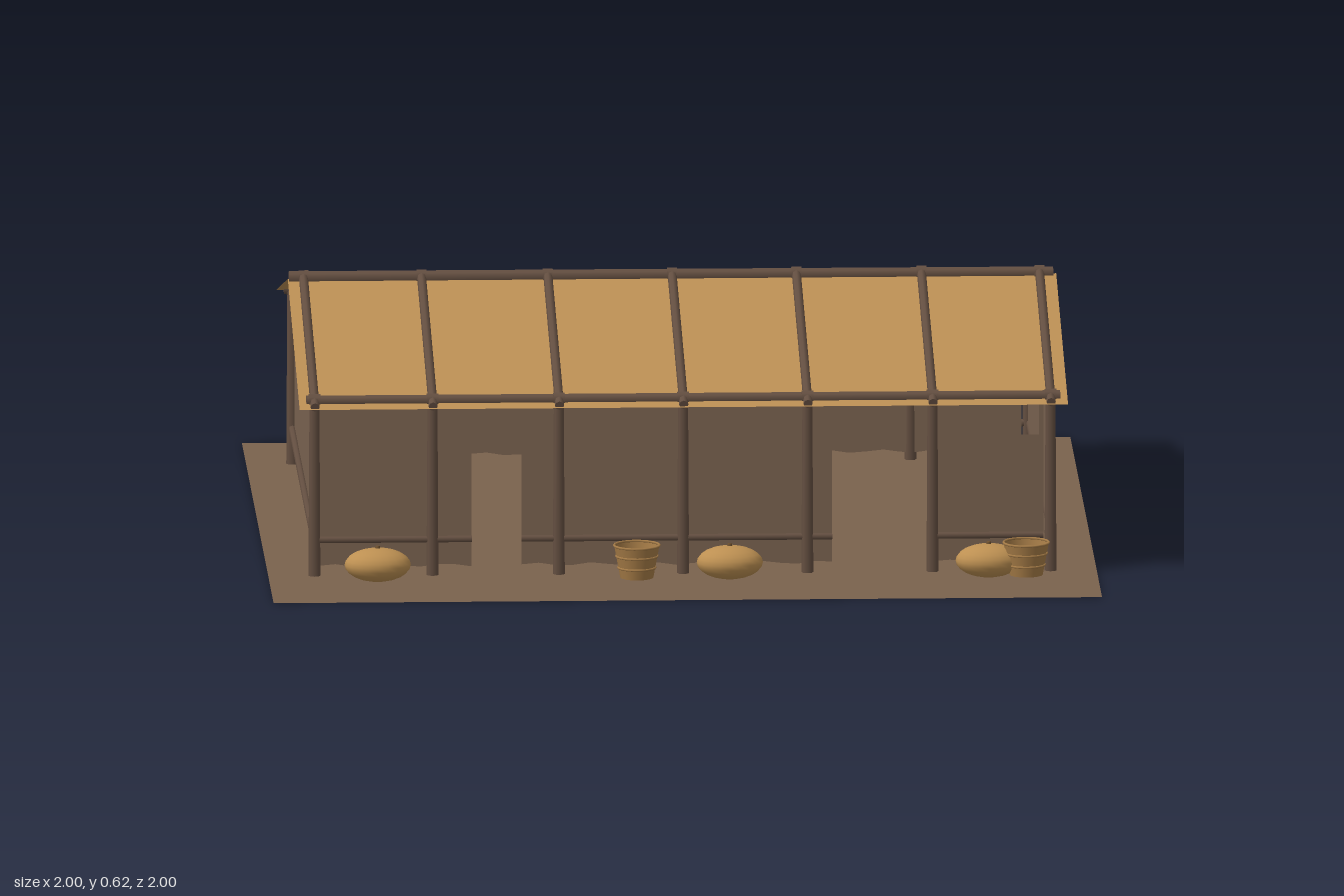
import * as THREE from 'three';

const mat = (name, color, side = THREE.FrontSide) => {
  const m = new THREE.MeshStandardMaterial({ color, side });
  m.name = name;
  return m;
};

export function createModel() {
  const group = new THREE.Group();
  const earth = mat('earth', 0x7a624d, THREE.DoubleSide);
  const hide = mat('wall cloth', 0x7a6350, THREE.DoubleSide);
  const canvas = mat('roof canvas', 0xbc8f54, THREE.DoubleSide);
  const wood = mat('wood', 0x644f41);
  const sackCloth = mat('sack cloth', 0xbd9052);
  const wicker = mat('wicker', 0xa67c47, THREE.DoubleSide);
  const band = mat('dark band', 0x6e5130);

  const add = (geo, material, name, x = 0, y = 0, z = 0, parent = group) => {
    const m = new THREE.Mesh(geo, material);
    m.name = name;
    m.position.set(x, y, z);
    parent.add(m);
    return m;
  };

  // round pole between two points
  const pole = (a, b, r, name, r2 = r) => {
    const p = new THREE.Vector3(...a), q = new THREE.Vector3(...b);
    const dir = q.clone().sub(p);
    const m = add(new THREE.CylinderGeometry(r2, r, dir.length(), 8), wood, name);
    m.position.copy(p).add(q).multiplyScalar(0.5);
    m.quaternion.setFromUnitVectors(new THREE.Vector3(0, 1, 0), dir.normalize());
    return m;
  };

  // cloth wall with a gently scalloped hem
  const wall = (from, to, name, bottom = 0.03, windows = []) => {
    const s = new THREE.Shape();
    const n = Math.max(2, Math.round((to - from) * 24));
    s.moveTo(from, 0.432);
    for (let i = 0; i <= n; i++) {
      s.lineTo(from + (to - from) * i / n, bottom + 0.004 * Math.sin(i * 1.9));
    }
    s.lineTo(to, 0.432);
    for (const [x0, y0, x1, y1] of windows) {
      const h = new THREE.Path();
      h.moveTo(x0, y0);
      h.lineTo(x0, y1);
      h.lineTo(x1, y1);
      h.lineTo(x1, y0);
      h.closePath();
      s.holes.push(h);
    }
    return add(new THREE.ShapeGeometry(s), hide, name);
  };

  const ground = add(new THREE.PlaneGeometry(2, 2), earth, 'ground');
  ground.rotation.x = -Math.PI / 2;

  // front wall in pieces around two doorways, with one small window
  const frontPieces = [[-0.88, -0.51], [-0.39, 0.36], [0.6, 0.87]];
  frontPieces.forEach(([a, b], i) => {
    const windows = i === 2 ? [[0.74, 0.34, 0.86, 0.418]] : [];
    wall(a, b, 'frontWall', 0.03, windows).position.z = 0.69;
    pole([a, 0.095, 0.697], [b, 0.095, 0.697], 0.008, 'frontLowerRail');
  });
  wall(-0.88, 0.87, 'backWall').position.z = -0.69;
  pole([-0.89, 0.095, -0.7], [0.89, 0.095, -0.7], 0.009, 'backLowerRail');

  // side walls with lower rails and tie beams
  for (const side of [-1, 1]) {
    const w = wall(-0.69, 0.677, 'sideWall');
    w.rotation.y = Math.PI / 2;
    w.position.x = side * 0.885;
    pole([side * 0.89, 0.095, -0.7], [side * 0.89, 0.095, 0.7], 0.009, 'sideLowerRail');
    pole([side * 0.89, 0.43, -0.71], [side * 0.89, 0.43, 0.71], 0.012, 'tieBeam');
  }

  // roof slopes
  const ridgeY = 0.6, eaveY = 0.425, eaveZ = 0.75;
  const slopeLen = Math.hypot(eaveZ, ridgeY - eaveY);
  const tilt = Math.atan2(ridgeY - eaveY, eaveZ);
  for (const side of [-1, 1]) {
    const geo = new THREE.PlaneGeometry(1.855, slopeLen);
    geo.rotateX(-Math.PI / 2);
    const slope = add(geo, canvas, 'roofSlope', 0, (ridgeY + eaveY) / 2, side * eaveZ / 2);
    slope.rotation.x = side * tilt;
    pole([-0.91, 0.438, side * 0.705], [0.91, 0.438, side * 0.705], 0.0135, 'eavePurlin');
  }
  pole([-0.925, 0.602, 0], [0.92, 0.602, 0], 0.017, 'ridgePole', 0.015);

  // posts, rafters and lashings in each bay
  for (const x of [-0.89, -0.605, -0.3, 0, 0.3, 0.602, 0.887]) {
    for (const side of [-1, 1]) {
      const z = side * 0.7;
      pole([x, 0.008, z], [x, 0.44, z], 0.0145, 'post', 0.012);
      pole([x, 0.43, side * 0.745], [x, 0.607, 0], 0.011, 'rafter');
      const tie = add(new THREE.CylinderGeometry(0.017, 0.017, 0.028, 8), wood, 'eaveLashing', x, 0.438, side * 0.705);
      tie.rotation.z = Math.PI / 2;
    }
    const tie = add(new THREE.CylinderGeometry(0.019, 0.019, 0.024, 8), wood, 'ridgeLashing', x, 0.602, 0);
    tie.rotation.z = Math.PI / 2;
  }

  // grain sacks with a tied knot
  for (const x of [-0.74, 0.11, 0.735]) {
    const sack = new THREE.Group();
    sack.name = 'sack';
    sack.position.set(x, 0.048, 0.772);
    group.add(sack);
    add(new THREE.SphereGeometry(1, 20, 12), sackCloth, 'sackBody', 0, 0, 0, sack).scale.set(0.08, 0.041, 0.06);
    add(new THREE.CylinderGeometry(0.005, 0.007, 0.008, 8), band, 'sackKnot', 0, 0.042, 0, sack);
  }

  // open baskets with hoops
  for (const x of [-0.115, 0.825]) {
    const basket = new THREE.Group();
    basket.name = 'basket';
    basket.position.set(x, 0, 0.787);
    group.add(basket);
    add(new THREE.CylinderGeometry(0.055, 0.04, 0.08, 16, 1, true), wicker, 'basketSide', 0, 0.055, 0, basket);
    for (const [y, r] of [[0.04, 0.045], [0.068, 0.05], [0.094, 0.055]]) {
      const hoop = add(new THREE.TorusGeometry(r, 0.003, 6, 18), wicker, 'basketHoop', 0, y, 0, basket);
      hoop.rotation.x = Math.PI / 2;
    }
  }
  return group;
}
